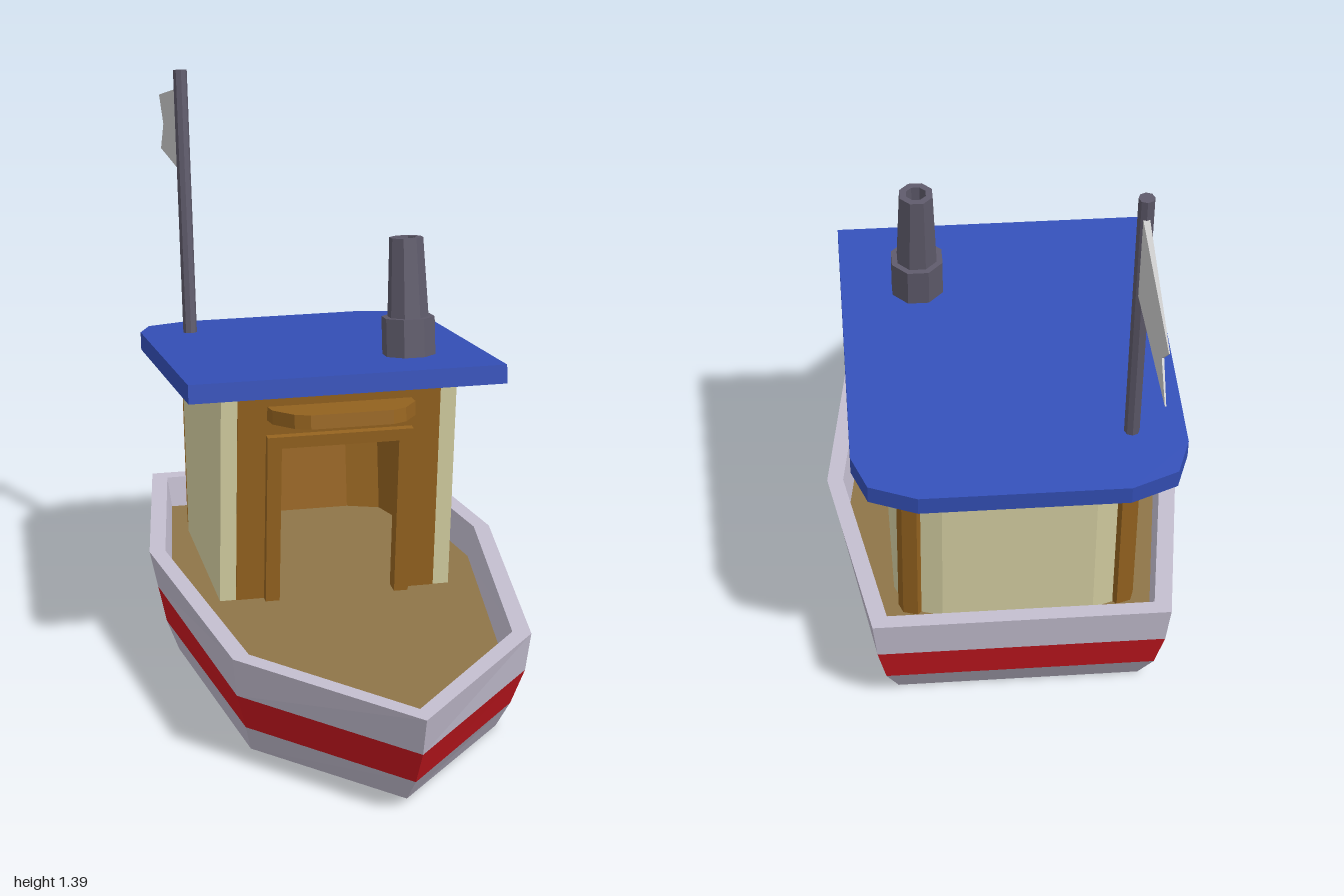
import * as THREE from 'three';

const mat = (color) => new THREE.MeshStandardMaterial({ color, flatShading: true, side: THREE.DoubleSide });
const paint = {
  hull: mat(0xc4bed0), red: mat(0xcc1820), deck: mat(0x8f7548), cream: mat(0xd8d2a4),
  wood: mat(0x966420), roof: mat(0x3450b8), metal: mat(0x5e5a6a), cloth: mat(0xcccccc),
};

function add(parent, name, geometry, material) {
  const mesh = new THREE.Mesh(geometry, material);
  mesh.name = name;
  parent.add(mesh);
  return mesh;
}

// Flat-shaded geometry from a list of triangle corners
function fromPoints(points) {
  const g = new THREE.BufferGeometry().setFromPoints(points);
  g.computeVertexNormals();
  return g;
}

// Skin between successive rings of points
function loft(rings, closed) {
  const out = [];
  for (let r = 0; r + 1 < rings.length; r++) {
    const a = rings[r], b = rings[r + 1], n = a.length;
    for (let i = 0; i < (closed ? n : n - 1); i++) {
      const j = (i + 1) % n;
      out.push(a[i], a[j], b[j], a[i], b[j], b[i]);
    }
  }
  return fromPoints(out);
}

// Flat fan over a convex ring
function cap(ring, flip) {
  const out = [];
  for (let i = 1; i + 1 < ring.length; i++) {
    out.push(ring[0], ring[flip ? i + 1 : i], ring[flip ? i : i + 1]);
  }
  return fromPoints(out);
}

// Horizontal slab from one half of an outline given as [x, z]
function slab(half, depth) {
  const full = [...half, ...half.slice().reverse().map(([x, z]) => [-x, z])];
  const shape = new THREE.Shape(full.map(([x, z]) => new THREE.Vector2(x, -z)));
  return new THREE.ExtrudeGeometry(shape, { depth, bevelEnabled: false }).rotateX(-Math.PI / 2);
}

// Hull section: bow, shoulder, midship and stern, mirrored across x
function hullRing(y, bow, shoulder, mid, stern) {
  const side = [shoulder, mid, stern].map(([x, z]) => new THREE.Vector3(x, y, z));
  const other = side.map((p) => new THREE.Vector3(-p.x, y, p.z)).reverse();
  return [new THREE.Vector3(0, y, bow), ...side, ...other];
}

const FLOOR = 0.19;
const frontLean = (y) => 0.1 * (y - 0.27);
const backLean = (y) => -0.13 * (y - 0.27);
const roofUnder = (z) => 0.732 + 0.133 * z;

// Point of the cabin wall at the floor or under the roof
function wallPoint([x, z], top) {
  const lean = z > 0 ? frontLean : backLean;
  let y = FLOOR;
  if (top) {
    y = roofUnder(z);
    y = roofUnder(z + lean(y));
  }
  return new THREE.Vector3(x, y, z + lean(y));
}
const wall = (path) => loft([path.map((p) => wallPoint(p, false)), path.map((p) => wallPoint(p, true))], false);

// Upright panel with a doorway, leaning with the cabin front
function doorPanel(w, h, holeW, holeH, z, depth) {
  const s = new THREE.Shape();
  s.moveTo(-w, FLOOR);
  [[-holeW, FLOOR], [-holeW, holeH], [holeW, holeH], [holeW, FLOOR], [w, FLOOR], [w, h], [-w, h]]
    .forEach(([x, y]) => s.lineTo(x, y));
  const g = new THREE.ExtrudeGeometry(s, { depth, bevelEnabled: false });
  const p = g.attributes.position;
  for (let i = 0; i < p.count; i++) p.setZ(i, p.getZ(i) + z + frontLean(p.getY(i)));
  g.computeVertexNormals();
  return g;
}

function buildHull() {
  const hull = new THREE.Group();
  hull.name = 'hull';
  const keel = hullRing(0, 0.83, [0.295, 0.51], [0.37, -0.09], [0.29, -0.56]);
  const low = hullRing(0.08, 0.91, [0.315, 0.56], [0.4, -0.09], [0.32, -0.615]);
  const high = hullRing(0.175, 0.97, [0.34, 0.59], [0.42, -0.09], [0.34, -0.645]);
  const rim = hullRing(0.27, 1.0, [0.35, 0.6], [0.44, -0.09], [0.35, -0.66]);
  const inner = hullRing(0.27, 0.94, [0.31, 0.58], [0.4, -0.09], [0.315, -0.62]);
  const deck = hullRing(FLOOR, 0.935, [0.295, 0.575], [0.385, -0.09], [0.305, -0.61]);
  add(hull, 'hullBottom', cap(keel, true), paint.hull);
  add(hull, 'lowerHull', loft([keel, low], true), paint.hull);
  add(hull, 'redStripe', loft([low, high], true), paint.red);
  add(hull, 'bulwark', loft([high, rim, inner, deck], true), paint.hull);
  add(hull, 'deck', cap(deck, false), paint.deck);
  return hull;
}

function buildCabin() {
  const cabin = new THREE.Group();
  cabin.name = 'cabin';
  const half = [[0.25, 0.08], [0.29, 0.08], [0.29, -0.43], [0.262, -0.515], [0.18, -0.545]];
  const mirror = (pts) => pts.map(([x, z]) => [-x, z]).reverse();
  add(cabin, 'cabinWall', wall([...half, ...mirror(half)]), paint.cream);
  const inside = half.slice(1).map(([x, z]) => [x - 0.02, z > 0 ? z - 0.01 : z + 0.02]);
  add(cabin, 'cabinLining', wall([...inside, ...mirror(inside)].reverse()), paint.wood);

  // Front wall, door frame and its inner moulding
  add(cabin, 'frontWall', doorPanel(0.25, 0.735, 0.145, 0.6, 0.06, 0.022), paint.wood);
  add(cabin, 'doorFrame', doorPanel(0.18, 0.63, 0.145, 0.6, 0.08, 0.025), paint.wood);

  // Battens wrapped around the rear corners
  const mix = (p, q, t) => [p[0] + (q[0] - p[0]) * t, p[1] + (q[1] - p[1]) * t];
  const out = ([x, z]) => [x * 1.04, z * 1.02];
  const a = mix(half[3], half[2], 0.35), b = mix(half[3], half[4], 0.4);
  const batten = [a, out(a), out(half[3]), out(b), b];
  add(cabin, 'leftBatten', wall(batten), paint.wood);
  add(cabin, 'rightBatten', wall(mirror(batten)), paint.wood);
  return cabin;
}

function buildTop() {
  // Everything that shares the pitch of the roof
  const top = new THREE.Group();
  top.name = 'roofGroup';
  top.position.y = 0.729;
  top.rotation.x = -0.132;
  add(top, 'roof', slab([[0.385, 0.24], [0.385, -0.57], [0.35, -0.665], [0.24, -0.71]], 0.046), paint.roof);

  const visor = slab([[0.18, 0.07], [0.175, 0.17], [0.135, 0.24], [0.1, 0.262]], 0.034);
  add(top, 'doorVisor', visor, paint.wood).position.y = -0.075;

  // Hollow chimney with a collar
  const profile = [[0.066, 0], [0.066, 0.1], [0.051, 0.1], [0.042, 0.295], [0.025, 0.295], [0.025, 0.2], [0, 0.2]]
    .map(([r, y]) => new THREE.Vector2(r, y));
  const chimney = add(top, 'chimney', new THREE.LatheGeometry(profile, 8, Math.PI / 8).toNonIndexed(), paint.metal);
  chimney.geometry.computeVertexNormals();
  chimney.position.set(0.2, 0.04, 0.01);
  return top;
}

function buildFlag() {
  const flag = new THREE.Group();
  flag.name = 'flag';
  flag.position.x = -0.26;
  const foot = new THREE.Vector3(0, 0.64, -0.517), tip = new THREE.Vector3(0, 1.383, -0.622);
  const dir = tip.clone().sub(foot);
  const pole = add(flag, 'flagPole', new THREE.CylinderGeometry(0.018, 0.018, dir.length(), 8), paint.metal);
  pole.position.copy(foot).add(tip).multiplyScalar(0.5);
  pole.quaternion.setFromUnitVectors(new THREE.Vector3(0, 1, 0), dir.normalize());

  // Swallow-tailed cloth, thinning towards its end
  const shape = new THREE.Shape([[0.615, 1.337], [1.0, 1.245], [0.92, 1.18], [0.98, 1.1], [0.59, 1.122]]
    .map(([x, y]) => new THREE.Vector2(x, y)));
  const cloth = new THREE.ExtrudeGeometry(shape, { depth: 0.016, bevelEnabled: false }).translate(0, 0, -0.008);
  const p = cloth.attributes.position;
  for (let i = 0; i < p.count; i++) p.setZ(i, p.getZ(i) * (1 - 0.85 * (p.getX(i) - 0.59) / 0.41));
  cloth.rotateY(Math.PI / 2);
  cloth.computeVertexNormals();
  add(flag, 'flagCloth', cloth, paint.cloth);
  return flag;
}

export function createModel() {
  const boat = new THREE.Group();
  boat.name = 'boat';
  boat.add(buildHull(), buildCabin(), buildTop(), buildFlag());
  return boat;
}
